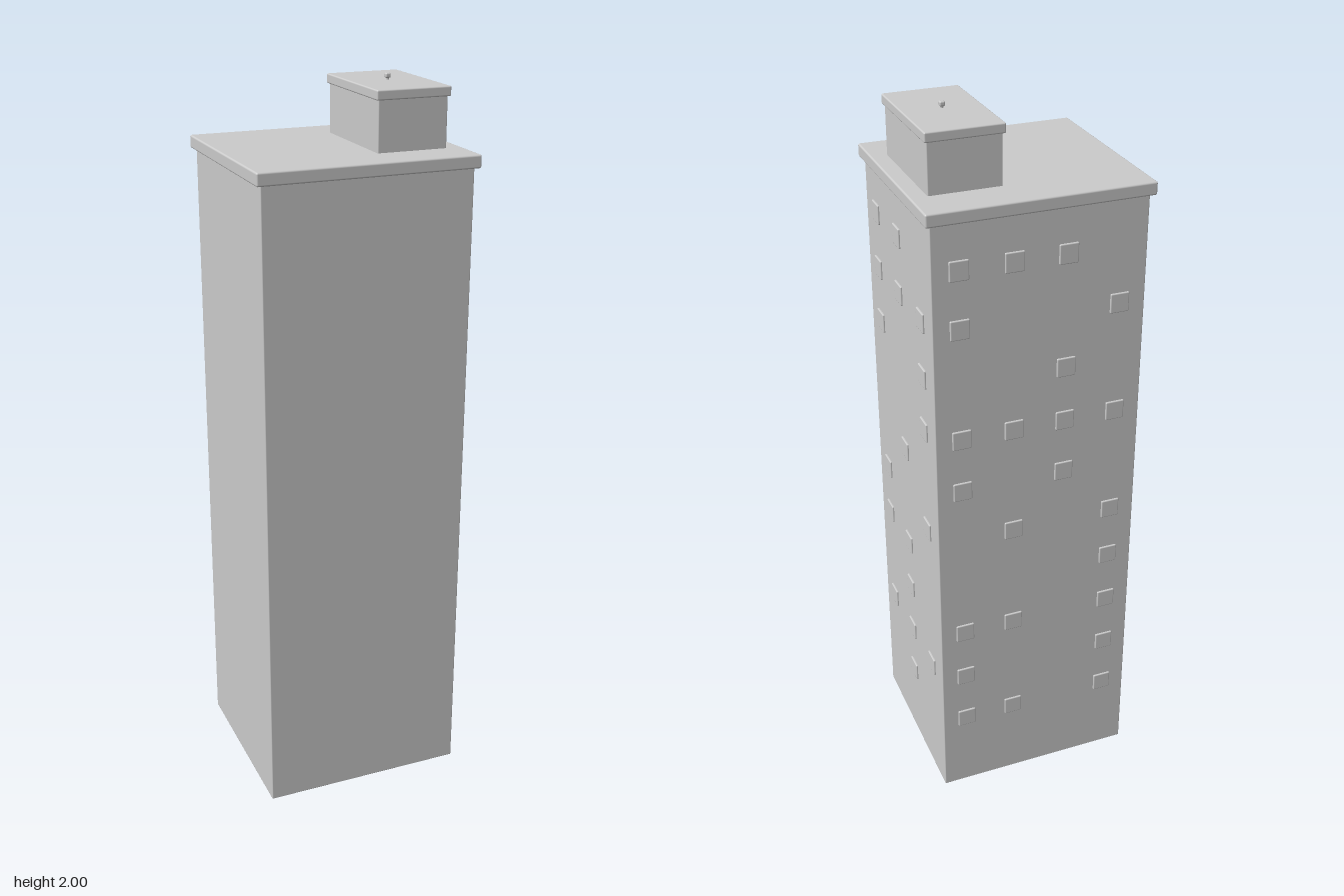
import * as THREE from 'three';
import { RoundedBoxGeometry } from 'three/addons/geometries/RoundedBoxGeometry.js';

const material = new THREE.MeshStandardMaterial({ color: 0xcccccc });

// Softly bevelled block given by its size, base height and centre
function block(name, w, h, d, x, baseY, z, bevel) {
  const mesh = new THREE.Mesh(new RoundedBoxGeometry(w, h, d, 2, bevel), material);
  mesh.name = name;
  mesh.position.set(x, baseY + h / 2, z);
  return mesh;
}

export function createModel() {
  const model = new THREE.Group();
  model.name = 'towerBlock';

  // Main tower and its overhanging roof slab
  model.add(block('tower', 0.577, 1.8, 0.524, 0, 0, 0, 0.003));
  model.add(block('roofSlab', 0.604, 0.035, 0.55, 0, 1.79, 0, 0.005));

  // Rooftop hut with cap and a small knob on a stem
  model.add(block('roofHut', 0.194, 0.15, 0.324, 0.16, 1.815, 0, 0.003));
  model.add(block('hutCap', 0.207, 0.026, 0.337, 0.16, 1.957, 0, 0.004));
  const stem = new THREE.Mesh(new THREE.CylinderGeometry(0.004, 0.004, 0.014, 8), material);
  stem.name = 'knobStem';
  stem.position.set(0.16, 1.985, 0);
  model.add(stem);
  model.add(block('knob', 0.015, 0.013, 0.015, 0.16, 1.987, 0, 0.004));

  // Window panels: each column lists the storeys (0 = lowest) that have one
  const storeyY = (i) => 0.247 + i * 0.1578;
  const paneGeometry = new RoundedBoxGeometry(0.052, 0.054, 0.014, 2, 0.003);
  const addWindows = (name, columns, place) => {
    const group = new THREE.Group();
    group.name = name;
    for (const [offset, storeys] of columns) {
      for (const storey of storeys) {
        const pane = new THREE.Mesh(paneGeometry, material);
        pane.name = 'window';
        pane.position.y = storeyY(storey);
        place(pane, offset);
        group.add(pane);
      }
    }
    model.add(group);
  };

  // Windows on the +x side
  addWindows('sideWindows', [
    [0.175, [1, 3, 4, 7, 8, 9]],
    [0, [0, 1, 2, 3, 5, 8, 9]],
    [-0.175, [1, 4, 6, 7, 8]],
  ], (pane, z) => {
    pane.position.x = 0.2865;
    pane.position.z = z;
    pane.rotation.y = Math.PI / 2;
  });

  // Windows on the back
  addWindows('backWindows', [
    [0.217, [0, 1, 2, 5, 6, 8, 9]],
    [0.072, [0, 2, 4, 6, 9]],
    [-0.072, [5, 6, 7, 9]],
    [-0.217, [0, 1, 2, 3, 4, 6, 8]],
  ], (pane, x) => {
    pane.position.x = x;
    pane.position.z = -0.26;
  });

  return model;
}
